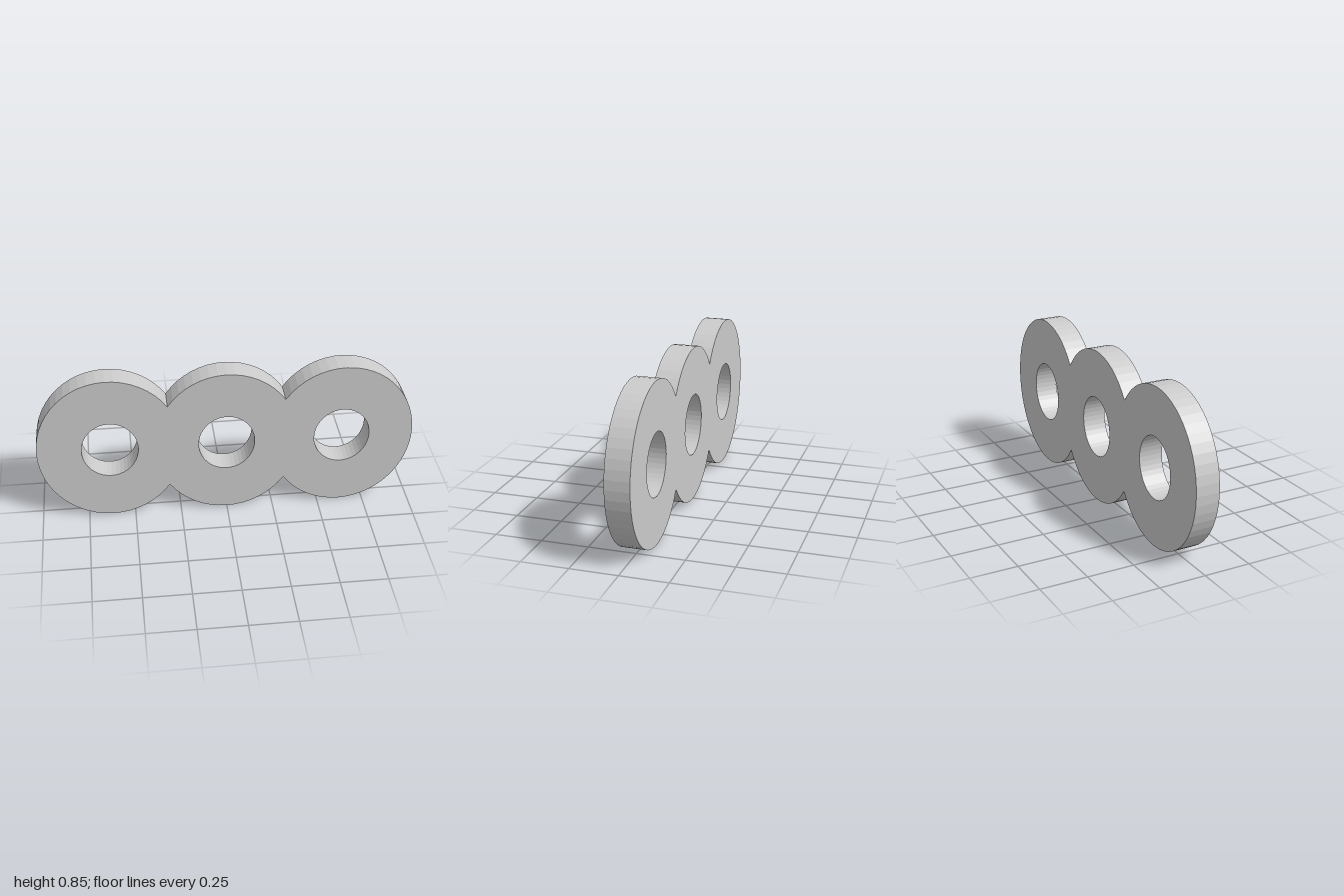
import * as THREE from 'three';

const RX = 0.383, RY = 0.4225;            // outer ellipse of each ring
const HOLE_RX = 0.149, HOLE_RY = 0.165;   // hole ellipse
const PITCH = 0.617, DEPTH = 0.128;       // ring spacing, plate thickness

// Points along an elliptical arc, end points included
function arc(cx, rx, ry, from, to, fullCount) {
  const n = Math.max(2, Math.round((to - from) / (2 * Math.PI) * fullCount));
  return Array.from({ length: n + 1 }, (_, i) => {
    const t = from + (to - from) * i / n;
    return new THREE.Vector2(cx + rx * Math.cos(t), RY + ry * Math.sin(t));
  });
}

export function createModel() {
  const group = new THREE.Group();
  group.name = 'tripleRingPlate';

  // Outline: three overlapping rings merged at their crossing angle
  const a = Math.acos(PITCH / 2 / RX), PI = Math.PI;
  const outline = [
    [PITCH, a - PI, PI - a],
    [0, a, PI - a],
    [-PITCH, a, 2 * PI - a],
    [0, PI + a, 2 * PI - a],
  ].flatMap(([cx, from, to]) => arc(cx, RX, RY, from, to, 52).slice(0, -1));
  const shape = new THREE.Shape(outline);

  // One hole through each ring
  for (const cx of [-PITCH, 0, PITCH]) {
    const points = arc(cx, HOLE_RX, HOLE_RY, 0, 2 * PI, 40).slice(0, -1);
    shape.holes.push(new THREE.Path(points.reverse()));
  }

  const geometry = new THREE.ExtrudeGeometry(shape, { depth: DEPTH, bevelEnabled: false });
  geometry.translate(0, 0, -DEPTH / 2);
  const plate = new THREE.Mesh(
    geometry,
    new THREE.MeshStandardMaterial({ color: 0xcccccc, flatShading: true })
  );
  plate.name = 'ringPlate';
  group.add(plate);
  return group;
}
